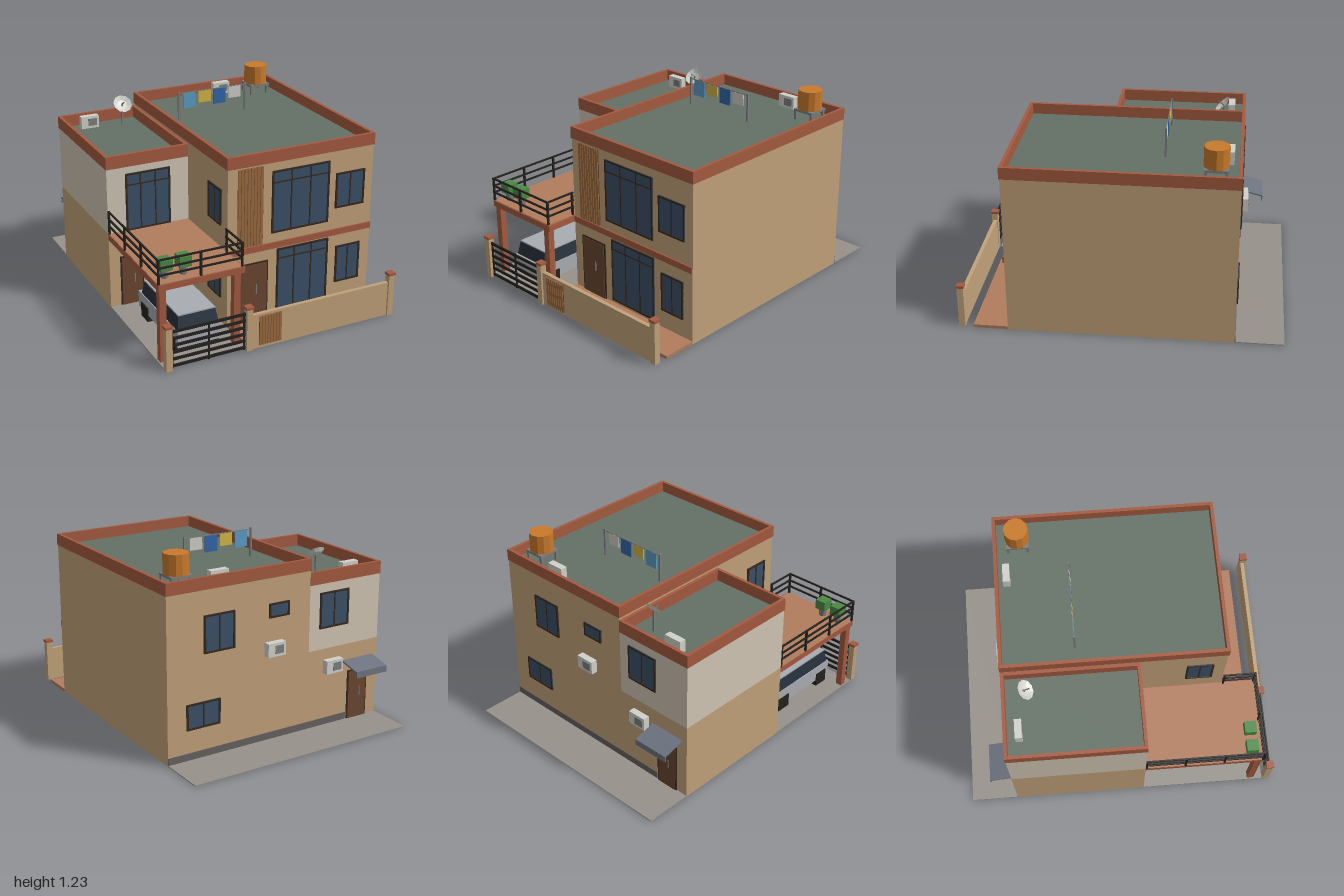
import * as THREE from 'three';

const mat = (color, side = THREE.FrontSide) =>
  new THREE.MeshStandardMaterial({ color, side, flatShading: true });
const M = {
  tan: mat(0xc2a27a), pale: mat(0xd1c6b4), red: mat(0xa45a3f), tile: mat(0xb17c5c),
  roof: mat(0x647066), glass: mat(0x3c5068), frame: mat(0x35291f), door: mat(0x6b4630),
  slat: mat(0x9c6c40), dark: mat(0x25221f), paving: mat(0x96918a), plinth: mat(0x66625e),
  metal: mat(0x7d7f80), white: mat(0xd2d2cc, THREE.DoubleSide), silver: mat(0xa9adb2),
  carGlass: mat(0x28323d), tank: mat(0xc97a2b), leaf: mat(0x4a8a44), canopy: mat(0x6e7480),
};

export function createModel() {
  const model = new THREE.Group();

  const add = (name, geo, material, parent = model) => {
    const mesh = new THREE.Mesh(geo, material);
    mesh.name = name;
    parent.add(mesh);
    return mesh;
  };
  // Box given by its limits on each axis
  const box = (name, m, x0, x1, y0, y1, z0, z1, parent) => {
    const mesh = add(name, new THREE.BoxGeometry(x1 - x0, y1 - y0, z1 - z0), m, parent);
    mesh.position.set((x0 + x1) / 2, (y0 + y1) / 2, (z0 + z1) / 2);
    return mesh;
  };
  // Four walls of thickness t, open above and below
  const ring = (name, m, x0, x1, y0, y1, z0, z1, t) => {
    const s = new THREE.Shape();
    s.moveTo(x0, -z1).lineTo(x1, -z1).lineTo(x1, -z0).lineTo(x0, -z0).closePath();
    const h = new THREE.Path();
    h.moveTo(x0 + t, -z1 + t).lineTo(x0 + t, -z0 - t).lineTo(x1 - t, -z0 - t).lineTo(x1 - t, -z1 + t).closePath();
    s.holes.push(h);
    const geo = new THREE.ExtrudeGeometry(s, { depth: y1 - y0, bevelEnabled: false });
    geo.rotateX(-Math.PI / 2).translate(0, y0, 0);
    return add(name, geo, m);
  };
  // Group lying on a wall: local x along the wall, local z outwards
  const onWall = (name, x, y, z, turn = 0) => {
    const g = new THREE.Group();
    g.name = name;
    g.position.set(x, y, z);
    g.rotation.y = turn;
    model.add(g);
    return g;
  };
  // Framed window with upright mullions and an optional transom
  const win = (name, x, y, z, w, h, cols, transom = 0, turn = 0) => {
    const g = onWall(name, x, y, z, turn), a = w / 2, b = h / 2, f = 0.011;
    box('glass', M.glass, -a, a, -b, b, 0, 0.004, g);
    for (const s of [-1, 1]) {
      box('frameSide', M.frame, s * (a - f / 2) - f / 2, s * (a - f / 2) + f / 2, -b, b, 0, 0.01, g);
      box('frameRail', M.frame, -a, a, s * (b - f / 2) - f / 2, s * (b - f / 2) + f / 2, 0, 0.01, g);
    }
    for (let i = 1; i < cols; i++) {
      const mx = -a + (w * i) / cols;
      box('mullion', M.frame, mx - 0.004, mx + 0.004, -b, b, 0, 0.008, g);
    }
    if (transom) box('transom', M.frame, -a, a, b - transom - 0.004, b - transom + 0.004, 0, 0.008, g);
  };
  const door = (name, x, y, z, w, h, turn = 0) => {
    const g = onWall(name, x, y, z, turn);
    box('doorFrame', M.frame, -w / 2, w / 2, 0, h, 0, 0.006, g);
    box('doorLeaf', M.door, -w / 2 + 0.009, w / 2 - 0.009, 0, h - 0.009, 0, 0.01, g);
    box('doorHandle', M.metal, w * 0.08, w * 0.08 + 0.006, h * 0.45, h * 0.62, 0.01, 0.016, g);
  };
  const slats = (name, x0, x1, y0, y1, z, n) => {
    const g = onWall(name, 0, 0, z), p = (x1 - x0) / n;
    box('backing', M.door, x0, x1, y0, y1, 0, 0.004, g);
    for (let i = 0; i < n; i++)
      box('slat', M.slat, x0 + i * p, x0 + (i + 0.82) * p, y0, y1, 0, 0.01, g);
  };
  const aircon = (x, y, z, w, h, turn) => {
    const g = onWall('airConditioner', x, y, z, turn);
    box('casing', M.white, -w / 2, w / 2, 0, h, 0, 0.043, g);
    box('grille', M.metal, -w * 0.12, w * 0.38, h * 0.2, h * 0.8, 0.04, 0.046, g);
  };

  // Walls, floors, parapets and roofs
  ring('mainWalls', M.tan, -0.23, 0.77, 0, 1.025, -0.7, 0.69, 0.004);
  ring('wingLowerWalls', M.tan, -0.77, -0.23, 0, 0.51, -0.7, 0.15, 0.004);
  ring('wingUpperWalls', M.pale, -0.77, -0.23, 0.51, 0.93, -0.7, 0.15, 0.004);
  ring('mainParapet', M.red, -0.234, 0.773, 1.025, 1.1, -0.703, 0.695, 0.021);
  ring('wingParapet', M.red, -0.773, -0.23, 0.93, 1.01, -0.703, 0.153, 0.021);
  box('mainRoof', M.roof, -0.22, 0.76, 1.01, 1.03, -0.69, 0.68);
  box('wingRoof', M.roof, -0.76, -0.232, 0.915, 0.935, -0.69, 0.14);
  box('mainUpperFloor', M.roof, -0.225, 0.765, 0.49, 0.505, -0.695, 0.685);
  box('wingUpperFloor', M.tan, -0.765, -0.235, 0.49, 0.505, -0.695, 0.145);
  box('floorBand', M.red, -0.23, 0.77, 0.47, 0.51, 0.688, 0.7);

  // Ground surfaces
  box('backApron', M.paving, -0.77, 0.77, 0, 0.006, -1, -0.7);
  box('backPlinth', M.plinth, -0.53, 0.77, 0, 0.05, -0.704, -0.699);
  box('driveway', M.paving, -0.77, -0.235, 0, 0.008, 0.15, 0.95);
  box('porch', M.tile, -0.23, 0.77, 0, 0.02, 0.69, 0.905);

  // Front openings
  win('upperWindowLarge', 0.26, 0.772, 0.69, 0.395, 0.4, 3, 0.075);
  win('upperWindowSmall', 0.608, 0.765, 0.69, 0.205, 0.23, 2);
  win('lowerWindowLarge', 0.285, 0.25, 0.69, 0.36, 0.42, 3, 0.065);
  win('lowerWindowSmall', 0.612, 0.265, 0.69, 0.175, 0.25, 2);
  door('frontDoor', -0.058, 0.02, 0.69, 0.205, 0.38);
  slats('upperSlatPanel', -0.165, 0.005, 0.515, 1.015, 0.69, 8);
  win('balconyDoor', -0.503, 0.698, 0.15, 0.295, 0.376, 3, 0.075);
  door('carportDoor', -0.622, 0, 0.15, 0.155, 0.342);
  win('carportWindow', -0.39, 0.26, 0.15, 0.17, 0.23, 2);

  // Openings in the wall beside the balcony and carport
  win('balconySideWindow', -0.23, 0.765, 0.53, 0.17, 0.23, 2, 0, -Math.PI / 2);
  win('carportSideWindow', -0.23, 0.27, 0.53, 0.17, 0.2, 2, 0, -Math.PI / 2);

  // Back openings and fittings
  win('backUpperWindow', 0.42, 0.76, -0.7, 0.21, 0.23, 2, 0, Math.PI);
  win('backLowerWindow', 0.53, 0.275, -0.7, 0.23, 0.16, 2, 0, Math.PI);
  win('backSmallWindow', 0, 0.825, -0.7, 0.145, 0.09, 1, 0, Math.PI);
  win('backWingWindow', -0.415, 0.76, -0.7, 0.22, 0.23, 2, 0, Math.PI);
  door('backDoor', -0.615, 0.005, -0.7, 0.155, 0.325, Math.PI);
  aircon(0.04, 0.55, -0.703, 0.125, 0.085, Math.PI);
  aircon(-0.403, 0.355, -0.703, 0.125, 0.085, Math.PI);
  const awning = box('backCanopy', M.canopy, -0.735, -0.495, -0.005, 0.005, -0.075, 0.075);
  awning.position.set(-0.615, 0.383, -0.772);
  awning.rotation.x = -0.24;
  box('canopyLip', M.canopy, -0.735, -0.495, 0.33, 0.367, -0.847, -0.839);

  // Balcony slab on two columns
  box('balconySlab', M.red, -0.77, -0.224, 0.47, 0.508, 0.15, 0.905);
  box('balconyTiles', M.tile, -0.768, -0.234, 0.5, 0.512, 0.152, 0.9);
  for (const x of [-0.74, -0.268])
    box('carportColumn', M.red, x - 0.021, x + 0.021, 0, 0.47, 0.852, 0.895);

  // Balcony railing along three edges
  const xl = -0.765, xr = -0.24, zf = 0.897, r = 0.005;
  for (const y of [0.565, 0.61, 0.66]) {
    box('frontRail', M.dark, xl, xr, y - r, y + r, zf - r, zf + r);
    box('outerRail', M.dark, xl - r, xl + r, y - r, y + r, 0.15, zf);
    box('innerRail', M.dark, xr - r, xr + r, y - r, y + r, 0.69, zf);
  }
  const posts = [[xr, zf], [xr, 0.7], [-0.503, zf]];
  for (let i = 0; i < 4; i++) posts.push([xl, 0.157 + (i * (zf - 0.157)) / 3]);
  for (const [x, z] of posts) box('railPost', M.dark, x - 0.006, x + 0.006, 0.51, 0.665, z - 0.006, z + 0.006);

  // Potted plants
  for (const x of [-0.698, -0.58]) {
    const pot = add('plantPot', new THREE.CylinderGeometry(0.028, 0.023, 0.058, 8), M.metal);
    pot.position.set(x, 0.54, 0.827);
    box('plant', M.leaf, x - 0.037, x + 0.037, 0.565, 0.63, 0.79, 0.864);
  }

  // Parked car with a cabin narrowing upwards
  box('carBody', M.silver, -0.635, -0.36, 0.05, 0.155, 0.28, 0.86);
  const cabin = new THREE.BoxGeometry(0.265, 0.085, 0.53);
  const cp = cabin.attributes.position;
  for (let i = 0; i < cp.count; i++)
    if (cp.getY(i) > 0) {
      cp.setX(i, cp.getX(i) * 0.9);
      cp.setZ(i, cp.getZ(i) * 0.93);
    }
  cabin.computeVertexNormals();
  add('carCabin', cabin, M.carGlass).position.set(-0.497, 0.197, 0.582);
  box('carRoof', M.silver, -0.617, -0.377, 0.239, 0.248, 0.337, 0.827);
  for (const z of [0.38, 0.78]) box('carWheels', M.dark, -0.641, -0.355, 0, 0.1, z - 0.05, z + 0.05);

  // Street wall, pillars and gates
  box('streetWall', M.tan, -0.215, 0.73, 0, 0.225, 0.96, 0.985);
  for (const x of [-0.749, -0.235, 0.747]) {
    box('pillar', M.tan, x - 0.02, x + 0.02, 0, 0.272, 0.957, 0.997);
    box('pillarCap', M.red, x - 0.024, x + 0.024, 0.272, 0.288, 0.952, 1);
  }
  slats('pedestrianGate', -0.17, -0.02, 0.02, 0.21, 0.985, 8);
  for (let i = 0; i < 6; i++) {
    const y = 0.022 + i * 0.044;
    box('gateBar', M.dark, -0.728, -0.257, y - 0.009, y + 0.009, 0.973, 0.981);
  }
  for (const x of [-0.722, -0.491, -0.263]) box('gatePost', M.dark, x - 0.005, x + 0.005, 0.005, 0.252, 0.97, 0.979);

  // Water tank on a stand
  const [tx, tz] = [0.615, -0.55];
  for (const sx of [-1, 1]) for (const sz of [-1, 1])
    box('tankLeg', M.metal, tx + sx * 0.06 - 0.008, tx + sx * 0.06 + 0.008, 1.03, 1.09, tz + sz * 0.06 - 0.008, tz + sz * 0.06 + 0.008);
  box('tankStand', M.metal, tx - 0.07, tx + 0.07, 1.085, 1.1, tz - 0.07, tz + 0.07);
  add('waterTank', new THREE.CylinderGeometry(0.076, 0.076, 0.125, 12), M.tank).position.set(tx, 1.163, tz);

  // Roof units
  aircon(0.383, 1.03, -0.65, 0.12, 0.08, 0);
  aircon(-0.59, 0.935, -0.632, 0.12, 0.08, 0);

  // Washing line
  for (const x of [-0.11, 0.37])
    box('linePost', M.metal, x - 0.006, x + 0.006, 1.03, 1.215, -0.244, -0.232);
  box('washingLine', M.metal, -0.11, 0.37, 1.201, 1.207, -0.24, -0.236);
  const laundry = [[-0.08, 1.1, 0x5b9cc4], [0.03, 1.125, 0xd2b544], [0.137, 1.1, 0x3265a8], [0.246, 1.125, 0xcfcdc8]];
  for (const [x, y, c] of laundry) box('laundry', mat(c), x, x + 0.088, y, 1.202, -0.241, -0.235);

  // Satellite dish, tilted up towards the front
  box('dishPole', M.metal, -0.381, -0.369, 0.935, 1.075, -0.566, -0.554);
  const bowl = [[0.001, 0], [0.035, 0.006], [0.063, 0.02]].map(p => new THREE.Vector2(...p));
  const dish = add('dish', new THREE.LatheGeometry(bowl, 10), M.white);
  dish.position.set(-0.375, 1.07, -0.562);
  dish.rotation.x = Math.PI / 4;
  const arm = box('dishArm', M.metal, -0.003, 0.003, 0, 0.05, -0.003, 0.003, dish);
  arm.rotation.x = 0.2;

  return model;
}
